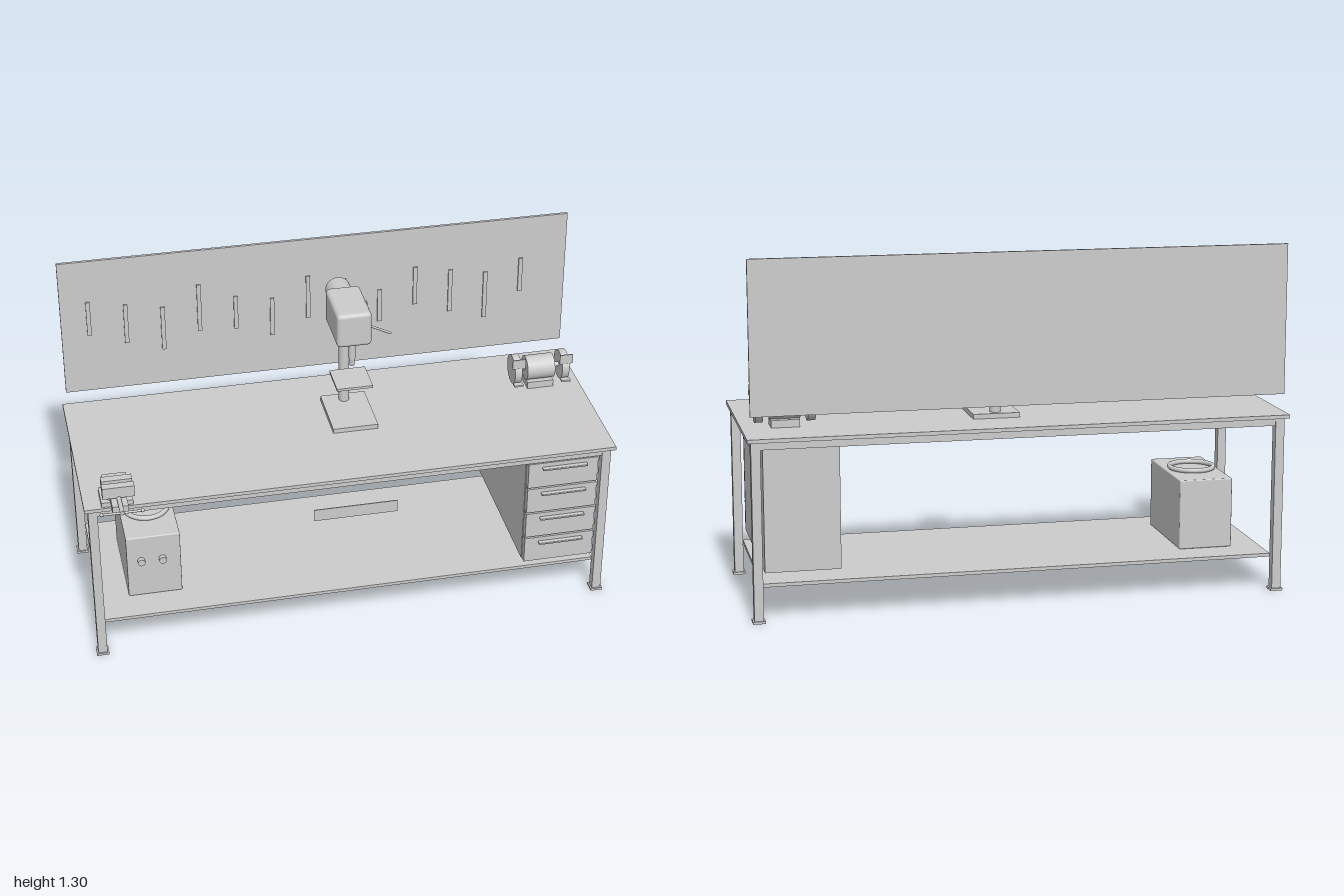
import * as THREE from 'three';
import { RoundedBoxGeometry } from 'three/addons/geometries/RoundedBoxGeometry.js';

const grey = new THREE.MeshStandardMaterial({ color: 0xcccccc });
grey.name = 'workshopGrey';

function add(parent, name, geometry, x = 0, y = 0, z = 0) {
  const mesh = new THREE.Mesh(geometry, grey);
  mesh.name = name;
  mesh.position.set(x, y, z);
  parent.add(mesh);
  return mesh;
}

// Box given by its limits on each axis, optionally with rounded edges
function box(parent, name, [x0, x1], [y0, y1], [z0, z1], radius = 0) {
  const size = [x1 - x0, y1 - y0, z1 - z0];
  const geometry = radius ? new RoundedBoxGeometry(...size, 3, radius) : new THREE.BoxGeometry(...size);
  return add(parent, name, geometry, (x0 + x1) / 2, (y0 + y1) / 2, (z0 + z1) / 2);
}

// Cylinder between two points
function rod(parent, name, from, to, r0, r1 = r0, sides = 32) {
  const a = new THREE.Vector3(...from), b = new THREE.Vector3(...to);
  const dir = b.clone().sub(a);
  const mesh = add(parent, name, new THREE.CylinderGeometry(r1, r0, dir.length(), sides));
  mesh.position.copy(a).add(b).multiplyScalar(0.5);
  mesh.quaternion.setFromUnitVectors(new THREE.Vector3(0, 1, 0), dir.normalize());
  return mesh;
}

function group(parent, name) {
  const g = new THREE.Group();
  g.name = name;
  parent.add(g);
  return g;
}

const around = (c, half) => [c - half, c + half];

function buildBench(root) {
  const bench = group(root, 'bench');
  box(bench, 'benchTop', [-1, 1], [0.66, 0.674], [-0.45, 0.285]);
  box(bench, 'lowerShelf', [-0.953, 0.953], [0.123, 0.136], [-0.397, 0.236]);
  for (const x of [-0.969, 0.969]) {
    for (const z of [-0.414, 0.252]) {
      box(bench, 'leg', around(x, 0.017), [0, 0.66], around(z, 0.017));
      box(bench, 'foot', around(x, 0.023), [0, 0.009], around(z, 0.023));
    }
    box(bench, 'sideRail', around(x, 0.015), [0.631, 0.66], [-0.397, 0.236]);
  }
  for (const z of [-0.414, 0.252]) box(bench, 'longRail', [-0.953, 0.953], [0.631, 0.66], around(z, 0.015));
  box(bench, 'frontPlate', [-0.16, 0.156], [0.512, 0.56], [0.291, 0.295]);
}

function buildDrawers(root) {
  const cabinet = group(root, 'drawerCabinet');
  box(cabinet, 'cabinetBody', [0.666, 0.941], [0.175, 0.629], [-0.395, 0.236]);
  for (let i = 0; i < 4; i++) {
    const y = 0.179 + i * 0.1135;
    box(cabinet, 'drawerFront', [0.668, 0.939], [y, y + 0.107], [0.236, 0.266]);
    box(cabinet, 'drawerHandle', [0.72, 0.894], [y + 0.083, y + 0.091], [0.266, 0.286], 0.003);
  }
}

function buildToolBoard(root) {
  const board = group(root, 'toolBoard');
  box(board, 'backBoard', [-0.985, 0.985], [0.748, 1.305], [-0.422, -0.411]);
  // Upper and lower end of each hanging tool
  const tools = [[1.137, 0.995], [1.11, 0.945], [1.083, 0.9], [1.163, 0.965], [1.097, 0.957],
    [1.072, 0.912], [1.152, 0.971], [1.124, 0.928], [1.06, 0.922], [1.143, 0.981],
    [1.115, 0.933], [1.09, 0.89], [1.135, 0.992]];
  tools.forEach(([top, bottom], i) => {
    box(board, 'hangingTool', around(-0.88 + i * 0.1403, 0.008), [bottom, top], [-0.406, -0.4]);
  });
}

function buildDrillPress(root) {
  const drill = group(root, 'drillPress');
  const x = 0.068;
  box(drill, 'drillBase', around(x, 0.087), [0.674, 0.692], [-0.272, -0.028]);
  rod(drill, 'drillColumn', [x - 0.002, 0.692, -0.234], [x - 0.002, 1.06, -0.234], 0.02);
  box(drill, 'drillTable', around(x, 0.069), [0.847, 0.857], [-0.186, -0.045]);
  box(drill, 'drillHead', around(x, 0.066), [1.028, 1.166], [-0.276, -0.052], 0.016);
  rod(drill, 'drillMotor', [x, 1.11, -0.26], [x, 1.11, -0.36], 0.048);
  rod(drill, 'spindle', [x, 1.04, -0.1], [x, 0.955, -0.1], 0.013);
  rod(drill, 'chuck', [x, 0.955, -0.1], [x, 0.924, -0.1], 0.012, 0.009);
  // Three feed levers around one hub point
  for (let i = 0; i < 3; i++) {
    const a = THREE.MathUtils.degToRad(-27 + i * 120);
    rod(drill, 'feedLever', [0.137, 1.06, -0.15],
      [0.137 + 0.103 * Math.cos(a), 1.06 + 0.103 * Math.sin(a), -0.15], 0.0045, 0.0045, 12);
  }
}

function buildGrinder(root) {
  const grinder = group(root, 'benchGrinder');
  const x = 0.841, y = 0.747, z = -0.224;
  box(grinder, 'grinderBase', around(x, 0.052), [0.674, 0.702], [-0.265, -0.183]);
  rod(grinder, 'grinderMotor', [x - 0.055, y, z], [x + 0.055, y, z], 0.048);
  rod(grinder, 'grinderShaft', [x - 0.1, y, z], [x + 0.1, y, z], 0.009);
  for (const side of [-1, 1]) {
    const wx = x + side * 0.095;
    rod(grinder, 'grindingWheel', [wx - 0.014, y, z], [wx + 0.014, y, z], 0.058, 0.058, 40);
    box(grinder, 'eyeShield', around(wx, 0.026), [0.778, 0.818], [-0.172, -0.168]);
    box(grinder, 'toolRest', around(wx, 0.018), [0.704, 0.711], [-0.178, -0.155]);
  }
}

function buildVise(root) {
  const vise = group(root, 'vise');
  const x = -0.878;
  box(vise, 'viseBase', around(x, 0.058), [0.674, 0.692], [0.172, 0.277]);
  rod(vise, 'swivel', [x, 0.692, 0.227], [x, 0.717, 0.227], 0.046);
  box(vise, 'viseBody', around(x, 0.045), [0.715, 0.76], [0.19, 0.286], 0.004);
  box(vise, 'viseSlide', around(x, 0.029), [0.718, 0.75], [0.28, 0.393]);
  box(vise, 'fixedJaw', around(x, 0.056), [0.758, 0.802], [0.271, 0.302]);
  box(vise, 'movingJaw', around(x, 0.058), [0.758, 0.802], [0.319, 0.35]);
  rod(vise, 'viseScrew', [x, 0.756, 0.28], [x, 0.756, 0.445], 0.008, 0.008, 20);
  rod(vise, 'viseHandle', [x - 0.073, 0.756, 0.441], [x + 0.073, 0.756, 0.441], 0.0045, 0.0045, 12);
  for (const side of [-1, 1]) add(vise, 'handleKnob', new THREE.SphereGeometry(0.007, 14, 10), x + side * 0.073, 0.756, 0.441);
}

function buildShelfUnit(root) {
  const unit = group(root, 'shelfUnit');
  box(unit, 'unitBody', [-0.843, -0.638], [0.136, 0.402], [-0.272, 0.112], 0.005);
  const ring = add(unit, 'topRing', new THREE.TorusGeometry(0.083, 0.0095, 12, 48), -0.741, 0.411, -0.08);
  ring.rotation.x = Math.PI / 2;
  for (const x of [-0.789, -0.708]) rod(unit, 'knob', [x, 0.297, 0.11], [x, 0.297, 0.13], 0.014, 0.014, 24);
}

export function createModel() {
  const root = new THREE.Group();
  root.name = 'workbench';
  buildBench(root);
  buildDrawers(root);
  buildToolBoard(root);
  buildDrillPress(root);
  buildGrinder(root);
  buildVise(root);
  buildShelfUnit(root);
  return root;
}
